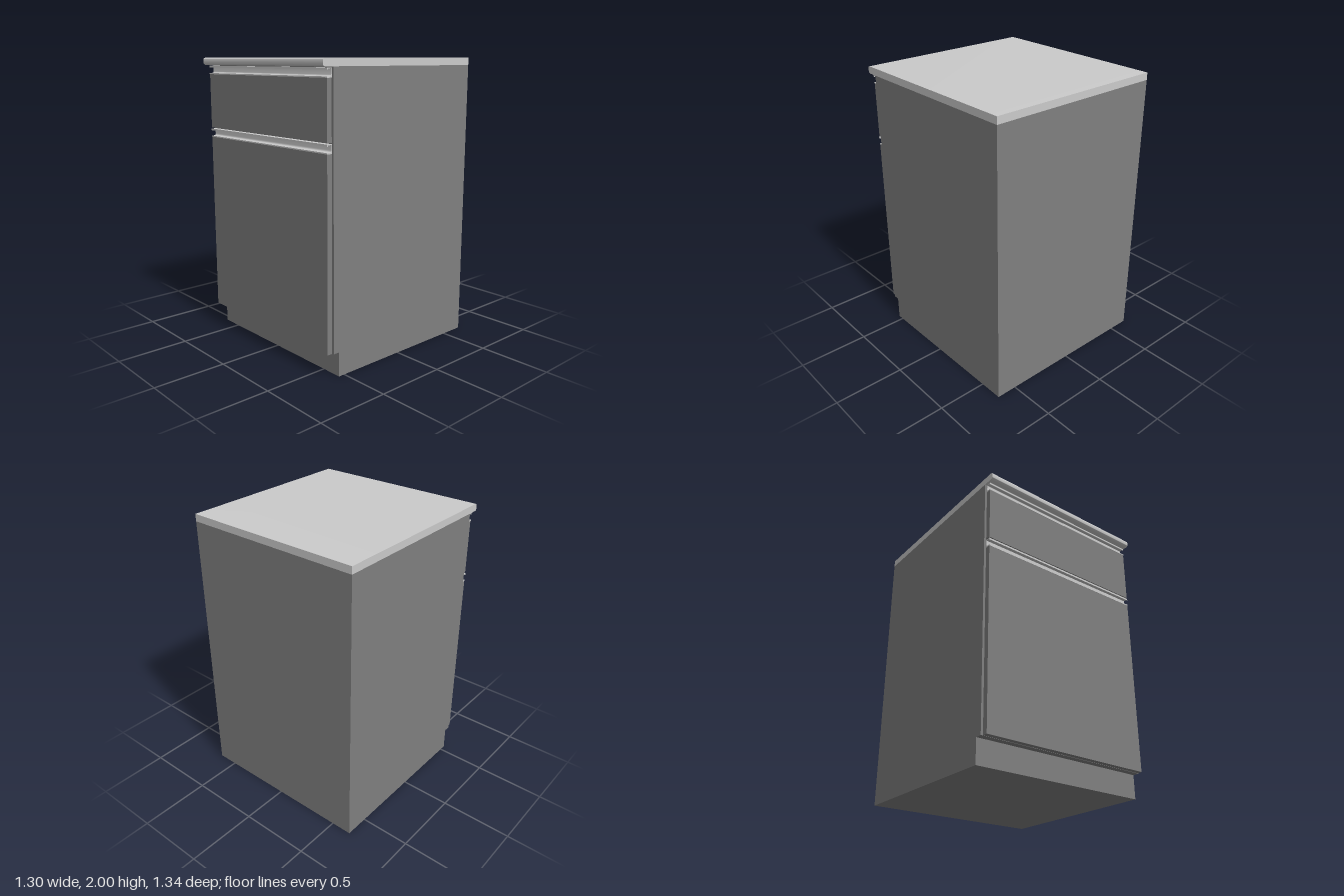
import * as THREE from 'three';
import { toCreasedNormals } from 'three/addons/utils/BufferGeometryUtils.js';

const lightGrey = new THREE.MeshStandardMaterial({ color: 0xcccccc });
const darkGrey = new THREE.MeshStandardMaterial({ color: 0x808080 });

// Extrudes a side profile drawn in (z, y) across the width, centred on x = 0
function sweep(name, shape, width, material) {
  let geo = new THREE.ExtrudeGeometry(shape, { depth: width, bevelEnabled: false, curveSegments: 6 });
  geo.rotateY(-Math.PI / 2);
  geo.translate(width / 2, 0, 0);
  geo = toCreasedNormals(geo, 0.6);
  const mesh = new THREE.Mesh(geo, material);
  mesh.name = name;
  return mesh;
}

function polygon(points) {
  return new THREE.Shape(points.map(([z, y]) => new THREE.Vector2(z, y)));
}

// Front panel between two heights
function panel(name, bottom, top) {
  const mesh = new THREE.Mesh(new THREE.BoxGeometry(1.27, top - bottom, 0.036), darkGrey);
  mesh.position.set(0, (bottom + top) / 2, 0.612);
  mesh.name = name;
  return mesh;
}

// Thin channel grip sitting on the upper edge of a panel at height y
function grip(name, y) {
  const s = new THREE.Shape();
  s.moveTo(0.632, y - 0.004);
  s.lineTo(0.632, y + 0.004);
  s.lineTo(0.614, y + 0.004);
  s.quadraticCurveTo(0.599, y + 0.004, 0.599, y + 0.019);
  s.lineTo(0.599, y + 0.05);
  s.lineTo(0.626, y + 0.05);
  s.lineTo(0.626, y + 0.042);
  s.lineTo(0.632, y + 0.042);
  s.lineTo(0.632, y + 0.055);
  s.lineTo(0.594, y + 0.055);
  s.lineTo(0.594, y - 0.004);
  return sweep(name, s, 1.274, lightGrey);
}

export function createModel() {
  const model = new THREE.Group();
  model.name = 'baseCabinet';

  // Carcass with a recessed toe kick
  model.add(sweep('carcass', polygon([
    [-0.67, 0], [0.545, 0], [0.545, 0.165], [0.59, 0.165], [0.59, 1.95], [-0.67, 1.95],
  ]), 1.296, darkGrey));

  // Worktop with a rounded front edge
  const r = 0.016;
  const top = new THREE.Shape();
  top.moveTo(-0.67, 1.95);
  top.lineTo(0.672 - r, 1.95);
  top.absarc(0.672 - r, 1.95 + r, r, -Math.PI / 2, 0);
  top.absarc(0.672 - r, 2 - r, r, 0, Math.PI / 2);
  top.lineTo(-0.67, 2);
  model.add(sweep('worktop', top, 1.296, lightGrey));

  // Drawer and door, each with its grip
  model.add(panel('drawerFront', 1.505, 1.887), grip('drawerGrip', 1.889));
  model.add(panel('doorFront', 0.165, 1.44), grip('doorGrip', 1.442));

  return model;
}
